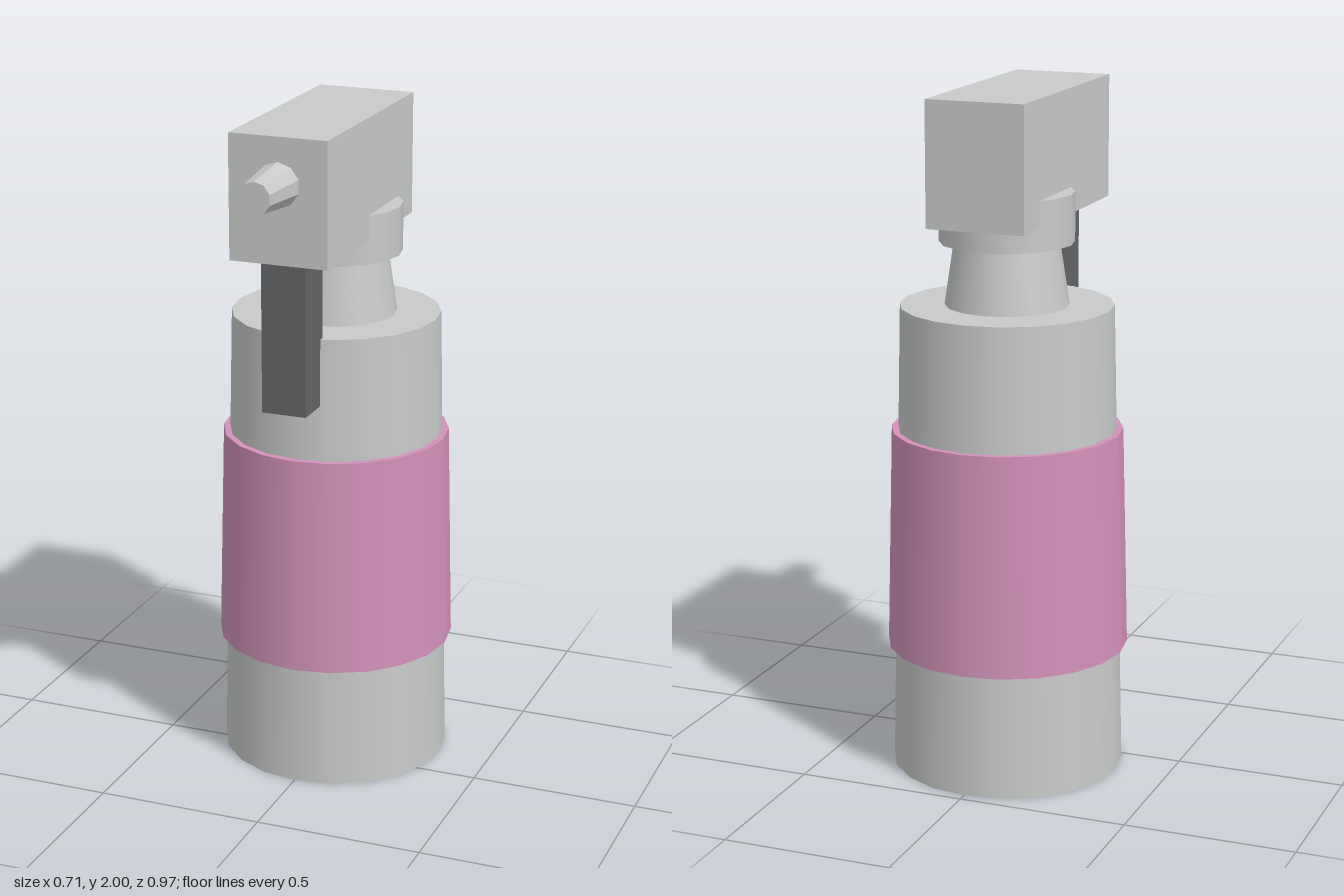
import * as THREE from 'three';

const paint = (name, color) => {
  const m = new THREE.MeshStandardMaterial({ color });
  m.name = name;
  return m;
};

export function createModel() {
  const grey = paint('light grey', 0xc8caca);
  const pink = paint('pink', 0xd292ba);
  const dark = paint('dark grey', 0x646567);
  const model = new THREE.Group();
  model.name = 'sprayBottle';
  const axisZ = -0.13; // centre line of the bottle

  const add = (name, geometry, material, x, y, z) => {
    const mesh = new THREE.Mesh(geometry, material);
    mesh.name = name;
    mesh.position.set(x, y, z);
    model.add(mesh);
    return mesh;
  };

  // Tapered round part standing on the bottle axis between two heights
  const round = (name, material, y0, y1, r0, r1, sides) =>
    add(name, new THREE.CylinderGeometry(r1, r0, y1 - y0, sides), material, 0, (y0 + y1) / 2, axisZ);

  // Box given by its width and its y and z limits
  const block = (name, material, width, y0, y1, z0, z1) =>
    add(name, new THREE.BoxGeometry(width, y1 - y0, z1 - z0), material, 0, (y0 + y1) / 2, (z0 + z1) / 2);

  // Bottle
  round('bottleBody', grey, 0, 1.387, 0.342, 0.31, 20);
  round('labelBand', pink, 0.37, 1.022, 0.355, 0.338, 20);
  round('neck', grey, 1.387, 1.6, 0.18, 0.148, 16);
  round('collar', grey, 1.57, 1.715, 0.195, 0.195, 16);

  // Spray head
  block('sprayHead', grey, 0.294, 1.637, 2, -0.373, 0.318);
  block('trigger', dark, 0.134, 1.187, 1.637, 0.152, 0.282);

  // Faceted nozzle, narrowing forward
  const tip = new THREE.CylinderGeometry(0.048, 0.065, 0.17, 10).toNonIndexed();
  tip.computeVertexNormals();
  tip.rotateX(Math.PI / 2);
  add('nozzle', tip, grey, 0, 1.865, 0.4);

  return model;
}
